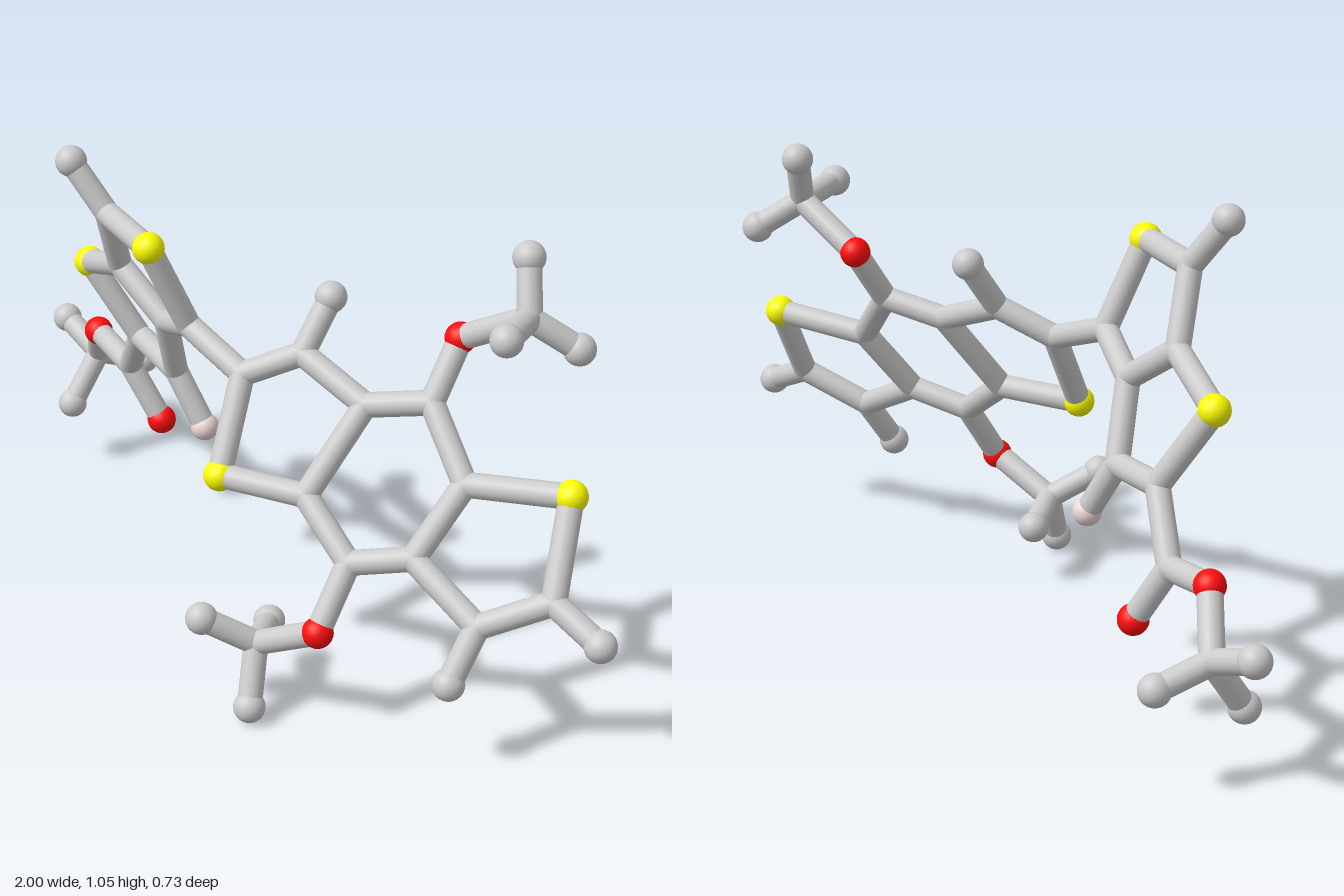
import * as THREE from 'three';

const STICK = 0.027;
const BALL = 0.035;

const material = (color) => new THREE.MeshStandardMaterial({ color });
const grey = material(0xcccccc);
const yellow = material(0xffff00);
const red = material(0xff0d0d);
const pink = material(0xf0d8d8);

// Height of the flat three-ring plate at (x, y)
const onPlate = (x, y) => [x, y, -0.42 * (x - 0.435) - 0.68 * (y - 0.523)];

// Atom positions; the first letter gives the kind:
// c = ring or chain joint, s = sulphur, o = oxygen, f = fluorine, e = grey end
const atoms = {
  // small double ring
  s1: [-0.58, 0.68, 0], s2: [-0.147, 0.91, 0.167],
  c1: [-0.355, 0.91, 0.118], c2: [-0.40, 0.75, 0.05], c3: [-0.26, 0.655, 0.032],
  c4: [-0.115, 0.715, 0.085], c5: [-0.31, 0.49, -0.035], c6: [-0.485, 0.505, -0.068],
  e1: [-0.43, 1.018, 0.155], f1: [-0.24, 0.366, -0.06],
  // ester arm
  c7: [-0.59, 0.37, -0.12], o1: [-0.52, 0.24, -0.156], o2: [-0.75, 0.393, -0.148],
  c8: [-0.84, 0.28, -0.215], e2: [-0.968, 0.328, -0.216],
  e3: [-0.847, 0.162, -0.134], e4: [-0.805, 0.238, -0.33],
  // three-ring plate
  c9: onPlate(0.05, 0.655), s3: onPlate(0.10, 0.467), c10: onPlate(0.15, 0.715),
  c11: onPlate(0.32, 0.65), c12: onPlate(0.288, 0.468), c13: onPlate(0.432, 0.37),
  c14: onPlate(0.55, 0.405), c15: onPlate(0.58, 0.553), c16: onPlate(0.445, 0.68),
  s4: onPlate(0.785, 0.575), c17: onPlate(0.728, 0.317), c18: onPlate(0.845, 0.39),
  e5: onPlate(0.153, 0.826), e6: onPlate(0.726, 0.208), e7: onPlate(0.965, 0.338),
  // upper side arm
  o3: [0.44, 0.803, -0.193], c19: [0.60, 0.895, -0.228],
  e8: [0.555, 1.005, -0.266], e9: [0.66, 0.907, -0.102], e10: [0.673, 0.828, -0.304],
  // lower side arm
  o4: [0.436, 0.236, 0.193], c20: [0.29, 0.16, 0.238],
  e11: [0.222, 0.226, 0.332], e12: [0.328, 0.038, 0.289], e13: [0.21, 0.135, 0.132],
};

// Each chain is a run of atoms joined one to the next
const chains = {
  smallRing: 'c1 s2 c4 c3 c2 c1 e1',
  innerRing: 'c2 s1 c6 c5 c3',
  fluorineArm: 'c5 f1',
  esterArm: 'c6 c7 o2 c8 e2',
  esterOxygen: 'c7 o1',
  esterEndA: 'c8 e3',
  esterEndB: 'c8 e4',
  link: 'c4 c9',
  plateLeftRing: 'c11 c10 c9 s3 c12',
  plateMiddleRing: 'c11 c12 c13 c14 c15 c16 c11',
  plateRightRing: 'c15 s4 c18 c17 c14',
  plateEndA: 'c10 e5',
  plateEndB: 'c17 e6',
  plateEndC: 'c18 e7',
  upperArm: 'c16 o3 c19 e8',
  upperEndA: 'c19 e9',
  upperEndB: 'c19 e10',
  lowerArm: 'c13 o4 c20 e11',
  lowerEndA: 'c20 e12',
  lowerEndB: 'c20 e13',
};

const kinds = {
  c: ['joint', STICK, grey],
  e: ['endBall', BALL, grey],
  s: ['sulphurBall', BALL, yellow],
  o: ['oxygenBall', 0.034, red],
  f: ['fluorineBall', 0.032, pink],
};

const UP = new THREE.Vector3(0, 1, 0);
const stickGeometry = new THREE.CylinderGeometry(STICK, STICK, 1, 20, 1, true);

function makeStick(from, to) {
  const a = new THREE.Vector3(...from);
  const b = new THREE.Vector3(...to);
  const along = b.clone().sub(a);
  const mesh = new THREE.Mesh(stickGeometry, grey);
  mesh.name = 'stick';
  mesh.scale.y = along.length();
  mesh.position.copy(a).add(b).multiplyScalar(0.5);
  mesh.quaternion.setFromUnitVectors(UP, along.normalize());
  return mesh;
}

export function createModel() {
  const model = new THREE.Group();
  model.name = 'molecule';

  // Balls and joints
  const balls = new THREE.Group();
  balls.name = 'balls';
  const ballGeometry = {};
  for (const [key, position] of Object.entries(atoms)) {
    const [name, radius, mat] = kinds[key[0]];
    ballGeometry[name] ??= new THREE.SphereGeometry(radius, 24, 16);
    const ball = new THREE.Mesh(ballGeometry[name], mat);
    ball.name = name;
    ball.position.set(...position);
    balls.add(ball);
  }
  model.add(balls);

  // Sticks, grouped by ring or arm
  for (const [name, run] of Object.entries(chains)) {
    const group = new THREE.Group();
    group.name = name;
    const keys = run.split(' ');
    for (let i = 1; i < keys.length; i++) {
      group.add(makeStick(atoms[keys[i - 1]], atoms[keys[i]]));
    }
    model.add(group);
  }
  return model;
}
